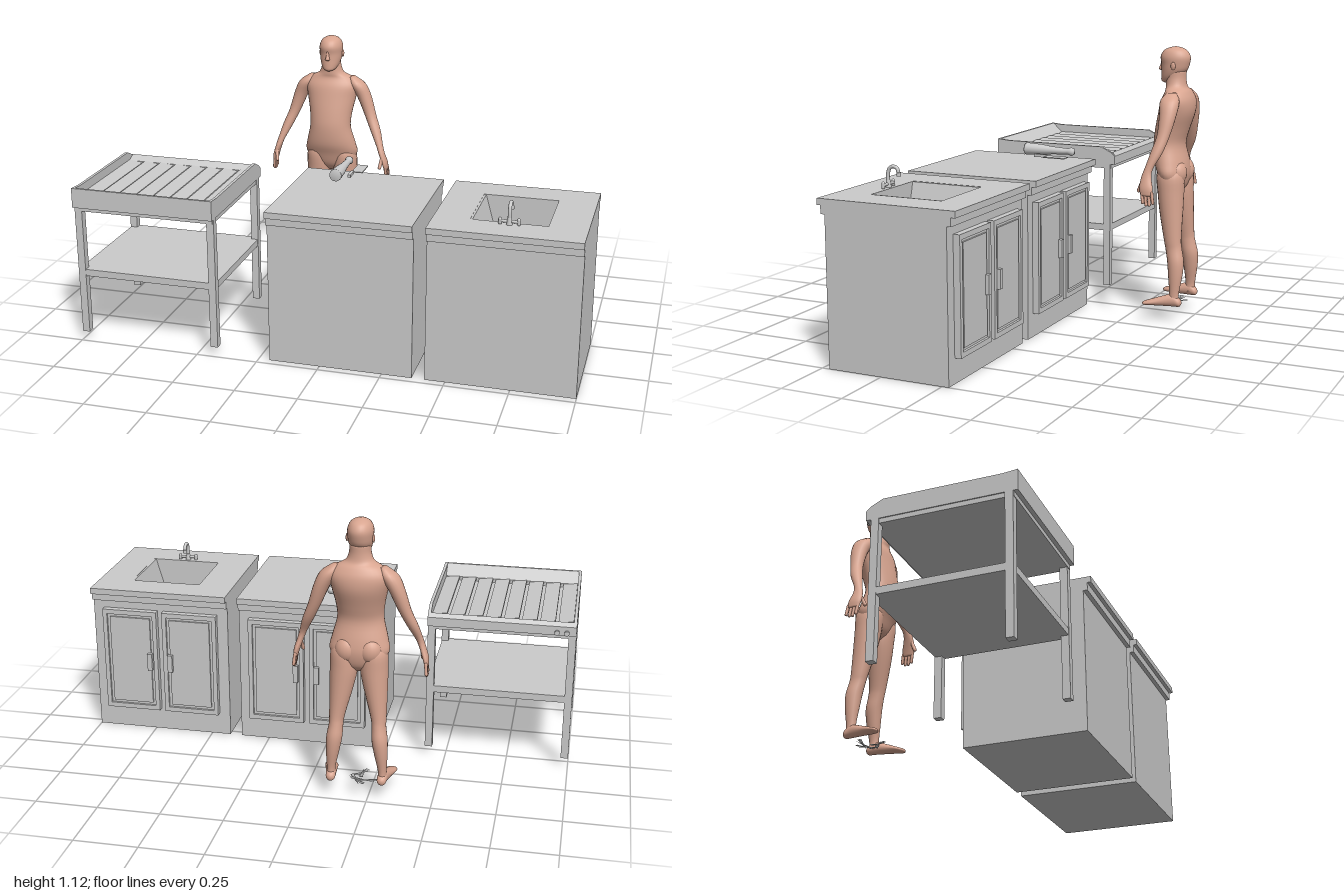
import * as THREE from 'three';

const grey = new THREE.MeshStandardMaterial({ color: 0xcccccc, side: THREE.DoubleSide });
const skin = new THREE.MeshStandardMaterial({ color: 0xd8a590 });

function add(parent, name, geometry, x = 0, y = 0, z = 0, material = grey) {
  const mesh = new THREE.Mesh(geometry, material);
  mesh.name = name;
  mesh.position.set(x, y, z);
  parent.add(mesh);
  return mesh;
}

// Box given by its lower and upper limits on each axis
function box(parent, name, [x0, x1], [y0, y1], [z0, z1]) {
  return add(parent, name, new THREE.BoxGeometry(x1 - x0, y1 - y0, z1 - z0),
    (x0 + x1) / 2, (y0 + y1) / 2, (z0 + z1) / 2);
}

// Outline in (z, y) pushed along x from x0 to x1
function prism(parent, name, points, x0, x1) {
  const shape = new THREE.Shape(points.map(p => new THREE.Vector2(...p)));
  const geo = new THREE.ExtrudeGeometry(shape, { depth: x1 - x0, bevelEnabled: false });
  add(parent, name, geo.rotateY(-Math.PI / 2), x1);
}

// Horizontal slab with an optional rectangular hole
function slab(parent, name, [x0, x1], [y0, y1], [z0, z1], hole) {
  if (!hole) return box(parent, name, [x0, x1], [y0, y1], [z0, z1]);
  const rect = (a, b, c, d) => [[a, c], [b, c], [b, d], [a, d]].map(p => new THREE.Vector2(...p));
  const shape = new THREE.Shape(rect(x0, x1, -z1, -z0));
  shape.holes.push(new THREE.Path(rect(hole[0], hole[1], -hole[3], -hole[2]).reverse()));
  const geo = new THREE.ExtrudeGeometry(shape, { depth: y1 - y0, bevelEnabled: false });
  return add(parent, name, geo.rotateX(-Math.PI / 2), 0, y0);
}

// Smooth skin through elliptical rings [x, y, z, rx, rz], listed in rising y
function loft(rings, sides = 20, steps = 4) {
  const centres = new THREE.CatmullRomCurve3(rings.map(r => new THREE.Vector3(r[0], r[1], r[2])), false, 'catmullrom');
  const radii = new THREE.CatmullRomCurve3(rings.map(r => new THREE.Vector3(r[3], r[4], 0)), false, 'catmullrom');
  const n = (rings.length - 1) * steps, pos = [], index = [];
  for (let i = 0; i <= n; i++) {
    const c = centres.getPoint(i / n), r = radii.getPoint(i / n);
    for (let j = 0; j < sides; j++) {
      const a = j / sides * Math.PI * 2;
      pos.push(c.x + Math.cos(a) * r.x, c.y, c.z + Math.sin(a) * r.y);
      const b = i * sides + j, d = i * sides + (j + 1) % sides;
      if (i < n) index.push(b, b + sides, d, d, b + sides, d + sides);
    }
  }
  // End caps
  for (const [row, up] of [[0, false], [n, true]]) {
    const c = centres.getPoint(row / n), k = pos.length / 3;
    pos.push(c.x, c.y, c.z);
    for (let j = 0; j < sides; j++) {
      const a = row * sides + j, b = row * sides + (j + 1) % sides;
      index.push(k, up ? b : a, up ? a : b);
    }
  }
  const geo = new THREE.BufferGeometry();
  geo.setAttribute('position', new THREE.Float32BufferAttribute(pos, 3));
  geo.setIndex(index);
  geo.computeVertexNormals();
  return geo;
}

// Rounded rod between two points
function rod(parent, name, a, b, r, material = grey) {
  const p = new THREE.Vector3(...a), q = new THREE.Vector3(...b), d = q.clone().sub(p);
  const mesh = add(parent, name, new THREE.CapsuleGeometry(r, d.length(), 4, 10), 0, 0, 0, material);
  mesh.position.copy(p).add(q).multiplyScalar(0.5);
  mesh.quaternion.setFromUnitVectors(new THREE.Vector3(0, 1, 0), d.normalize());
}

function cabinet(name, x0, x1, hole) {
  const g = new THREE.Group(), cx = (x0 + x1) / 2;
  g.name = name;
  box(g, 'body', [x0, x1], [0, 0.46], [-0.028, 0.47]);
  slab(g, 'upperBody', [x0, x1], [0.46, 0.575], [-0.028, 0.47], hole);
  slab(g, 'trim', [x0, x1], [0.575, 0.607], [-0.045, 0.487], hole);
  slab(g, 'worktop', [x0, x1], [0.607, 0.632], [-0.063, 0.502], hole);
  for (const s of [-1, 1]) {
    const span = (a, b) => [Math.min(cx + s * a, cx + s * b), Math.max(cx + s * a, cx + s * b)];
    // Door: frame around a raised panel, with a bar handle
    box(g, 'doorBack', span(0.012, 0.245), [0.095, 0.54], [-0.044, -0.028]);
    for (const x of [span(0.012, 0.03), span(0.227, 0.245)]) box(g, 'doorStile', x, [0.095, 0.54], [-0.054, -0.044]);
    for (const y of [[0.095, 0.115], [0.52, 0.54]]) box(g, 'doorRail', span(0.03, 0.227), y, [-0.054, -0.044]);
    box(g, 'doorPanel', span(0.042, 0.215), [0.127, 0.508], [-0.051, -0.044]);
    box(g, 'handle', span(0.034, 0.054), [0.28, 0.355], [-0.066, -0.05]);
  }
  return g;
}

function sinkCabinet() {
  const g = cabinet('sinkCabinet', 0.42, 1, [0.56, 0.86, 0.07, 0.362]);
  // Basin with slanting ends
  const wall = [[0.56, 0.631], [0.6, 0.48], [0.82, 0.48], [0.86, 0.631], [0.852, 0.631], [0.812, 0.488], [0.608, 0.488], [0.568, 0.631]];
  const shape = new THREE.Shape(wall.map(p => new THREE.Vector2(...p)));
  add(g, 'basin', new THREE.ExtrudeGeometry(shape, { depth: 0.292, bevelEnabled: false }), 0, 0, 0.07);
  // Tap
  const path = new THREE.CatmullRomCurve3([[0.63, 0.382], [0.685, 0.382], [0.705, 0.374], [0.712, 0.358], [0.705, 0.342], [0.682, 0.336]]
    .map(([y, z]) => new THREE.Vector3(0.71, y, z)));
  add(g, 'spout', new THREE.TubeGeometry(path, 30, 0.007, 12));
  add(g, 'spoutTip', new THREE.CylinderGeometry(0.009, 0.009, 0.014, 14), 0.71, 0.684, 0.336);
  add(g, 'tapBase', new THREE.CylinderGeometry(0.008, 0.012, 0.03, 14), 0.71, 0.645, 0.382);
  rod(g, 'tapBar', [0.68, 0.645, 0.382], [0.74, 0.645, 0.382], 0.006);
  for (const s of [-1, 1]) rod(g, 'tapHandle', [0.71 + s * 0.035, 0.637, 0.382], [0.71 + s * 0.035, 0.652, 0.382], 0.007);
  return g;
}

function table() {
  const g = new THREE.Group(), L = -1, R = -0.415;
  g.name = 'table';
  for (const x of [[L, L + 0.03], [R - 0.03, R]])
    for (const z of [[-0.043, -0.013], [0.457, 0.487]]) box(g, 'leg', x, [0.035, 0.575], z);
  box(g, 'shelf', [L + 0.002, R - 0.002], [0.28, 0.308], [-0.041, 0.485]);
  box(g, 'apron', [L + 0.004, R - 0.004], [0.557, 0.576], [-0.045, 0.489]);
  box(g, 'trayFloor', [L + 0.004, R - 0.004], [0.575, 0.596], [-0.055, 0.495]);
  // Side walls and sloping ends of the tray
  const side = [[0.505, 0.575], [0.505, 0.655], [0.45, 0.65], [0, 0.65], [-0.045, 0.628], [-0.063, 0.612], [-0.063, 0.575]];
  prism(g, 'sideWall', side, L, L + 0.012);
  prism(g, 'sideWall', side, R - 0.012, R);
  prism(g, 'frontEnd', [[0.505, 0.575], [0.505, 0.655], [0.495, 0.655], [0.45, 0.612], [0.45, 0.575]], L + 0.01, R - 0.01);
  prism(g, 'backEnd', [[-0.063, 0.575], [-0.063, 0.612], [-0.05, 0.628], [-0.01, 0.612], [-0.01, 0.575]], L + 0.01, R - 0.01);
  // Slightly tilted slats
  for (let i = 0; i < 8; i++) {
    const x = -0.957 + i * 0.0715;
    box(g, 'slat', [x - 0.03, x + 0.03], [0.604, 0.612], [-0.01, 0.45]).rotation.z = -0.12;
  }
  for (const x of [-0.963, -0.925])
    add(g, 'knob', new THREE.CylinderGeometry(0.01, 0.01, 0.02, 14).rotateX(Math.PI / 2), x, 0.587, -0.063);
  return g;
}

function utensils() {
  const g = new THREE.Group();
  g.name = 'utensils';
  // Turned club lying along z
  const profile = [[0, 0], [0.013, 0.003], [0.017, 0.015], [0.012, 0.028], [0.013, 0.045], [0.016, 0.1], [0.022, 0.15], [0.025, 0.212], [0.024, 0.219], [0, 0.219]];
  add(g, 'club', new THREE.LatheGeometry(profile.map(p => new THREE.Vector2(...p)), 24).rotateX(Math.PI / 2), -0.02, 0.688, -0.05);
  box(g, 'cleaverBlade', [0.016, 0.06], [0.668, 0.672], [-0.038, 0.055]);
  box(g, 'cleaverHandle', [0.014, 0.026], [0.664, 0.676], [0.055, 0.112]);
  return g;
}

function man() {
  const g = new THREE.Group();
  g.name = 'man';
  g.position.x = -0.205;
  const part = (name, rings, sides) => add(g, name, loft(rings, sides), 0, 0, 0, skin);
  part('torso', [[0, 0.52, -0.42, 0.02, 0.02], [0, 0.55, -0.42, 0.08, 0.045], [0, 0.6, -0.417, 0.114, 0.06], [0, 0.65, -0.405, 0.107, 0.067],
    [0, 0.72, -0.394, 0.09, 0.063], [0, 0.78, -0.404, 0.093, 0.067], [0, 0.85, -0.422, 0.107, 0.071], [0, 0.9, -0.428, 0.115, 0.065],
    [0, 0.935, -0.428, 0.09, 0.05], [0, 0.955, -0.42, 0.055, 0.043], [0, 0.985, -0.417, 0.042, 0.041], [0, 1.02, -0.417, 0.04, 0.042]], 32);
  part('head', [[0, 0.969, -0.375, 0.008, 0.01], [0, 0.977, -0.381, 0.025, 0.026], [0, 0.995, -0.395, 0.037, 0.041], [0, 1.02, -0.408, 0.045, 0.053],
    [0, 1.045, -0.413, 0.048, 0.058], [0, 1.073, -0.413, 0.049, 0.062], [0, 1.097, -0.413, 0.04, 0.05], [0, 1.11, -0.413, 0.023, 0.028], [0, 1.116, -0.413, 0.002, 0.002]], 28);
  part('nose', [[0, 1.018, -0.355, 0.005, 0.004], [0, 1.024, -0.353, 0.01, 0.011], [0, 1.04, -0.355, 0.006, 0.007], [0, 1.06, -0.357, 0.004, 0.004]], 12);
  for (const s of [-1, 1]) {
    const m = rings => rings.map(([x, ...rest]) => [s * x, ...rest]);
    add(g, 'ear', new THREE.SphereGeometry(0.016, 12, 10).scale(0.35, 1, 0.65), s * 0.049, 1.04, -0.42, skin);
    add(g, 'buttock', new THREE.SphereGeometry(0.045, 20, 16).scale(1, 1.15, 0.9), s * 0.045, 0.608, -0.442, skin);
    part('leg', m([[0.1, 0.083, -0.455, 0.018, 0.022], [0.1, 0.12, -0.457, 0.017, 0.02], [0.094, 0.19, -0.459, 0.026, 0.029], [0.088, 0.25, -0.457, 0.031, 0.034],
      [0.083, 0.3, -0.447, 0.028, 0.034], [0.08, 0.34, -0.44, 0.031, 0.036], [0.066, 0.45, -0.428, 0.046, 0.048], [0.058, 0.53, -0.422, 0.054, 0.054],
      [0.058, 0.6, -0.418, 0.05, 0.056], [0.05, 0.64, -0.415, 0.03, 0.035]]));
    // Foot: built heel to toe, then tipped forward
    part('foot', m([[0.1, -0.488, -0.082, 0.005, 0.006], [0.1, -0.479, -0.083, 0.017, 0.017], [0.102, -0.45, -0.091, 0.02, 0.026], [0.11, -0.4, -0.084, 0.024, 0.019],
      [0.117, -0.36, -0.077, 0.026, 0.012], [0.122, -0.337, -0.073, 0.018, 0.008], [0.123, -0.329, -0.072, 0.004, 0.003]])).rotation.x = Math.PI / 2;
    part('arm', m([[0.252, 0.545, -0.39, 0.008, 0.024], [0.247, 0.575, -0.386, 0.012, 0.028], [0.234, 0.615, -0.382, 0.013, 0.021], [0.222, 0.65, -0.388, 0.015, 0.017],
      [0.198, 0.71, -0.41, 0.022, 0.024], [0.17, 0.775, -0.427, 0.025, 0.026], [0.142, 0.85, -0.434, 0.031, 0.034], [0.113, 0.905, -0.431, 0.035, 0.039], [0.09, 0.938, -0.43, 0.014, 0.02]]));
    for (let i = 0; i < 4; i++) {
      const z = -0.37 - i * 0.014;
      rod(g, 'finger', [s * 0.251, 0.557, z], [s * 0.255, 0.51 + (i === 0 || i === 3 ? 0.008 : 0), z - 0.006], 0.0063, skin);
    }
    rod(g, 'thumb', [s * 0.238, 0.6, -0.368], [s * 0.232, 0.56, -0.35], 0.0075, skin);
  }
  return g;
}

// Flat scatter of thin blades between the feet
function floorScraps() {
  const g = new THREE.Group();
  g.name = 'floorScraps';
  for (let i = 0; i < 7; i++) {
    const blade = add(g, 'scrap', new THREE.ConeGeometry(0.008, 0.07 + 0.02 * (i % 3), 4).rotateX(Math.PI / 2).scale(1, 0.25, 1),
      -0.215 + 0.02 * Math.sin(i * 2.1), 0.062, -0.42 + 0.04 * Math.cos(i * 2.1));
    blade.rotation.y = i * 0.9;
  }
  return g;
}

export function createModel() {
  const model = new THREE.Group();
  model.name = 'kitchenScene';
  model.add(table(), cabinet('cabinet', -0.205, 0.37), sinkCabinet(), utensils(), man(), floorScraps());
  return model;
}
